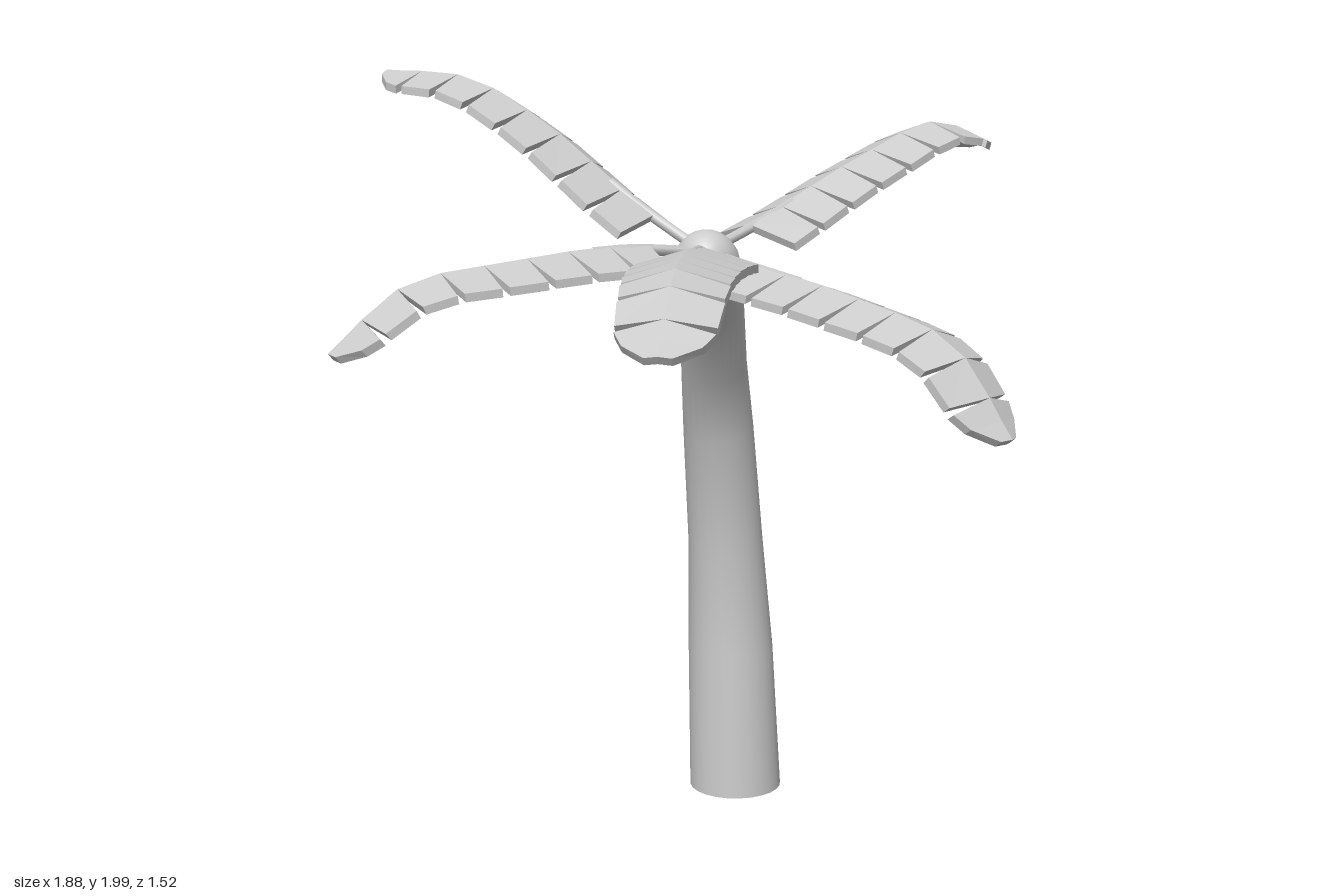
import * as THREE from 'three';

const material = new THREE.MeshStandardMaterial({ color: 0xcccccc });
const leafMaterial = new THREE.MeshStandardMaterial({ color: 0xcccccc, flatShading: true });
const UP = new THREE.Vector3(0, 1, 0);

// Tapered, bent trunk: rings of [x, y, z, radius] set square to the path
function trunkGeometry(path, sides = 24) {
  const centres = path.map(p => new THREE.Vector3(p[0], p[1], p[2]));
  const positions = [], index = [];
  centres.forEach((c, i) => {
    const t = centres[Math.min(i + 1, path.length - 1)].clone().sub(centres[Math.max(i - 1, 0)]).normalize();
    if (i === 0) t.copy(UP);
    const a = new THREE.Vector3(1, 0, 0).addScaledVector(t, -t.x).normalize();
    const b = new THREE.Vector3().crossVectors(a, t);
    for (let j = 0; j < sides; j++) {
      const w = j / sides * Math.PI * 2;
      const p = c.clone().addScaledVector(a, Math.cos(w) * path[i][3]).addScaledVector(b, Math.sin(w) * path[i][3]);
      positions.push(p.x, p.y, p.z);
      if (i > 0) {
        const k = (j + 1) % sides, lo = (i - 1) * sides, hi = i * sides;
        index.push(lo + j, hi + j, lo + k, lo + k, hi + j, hi + k);
      }
    }
  });
  const geometry = new THREE.BufferGeometry();
  geometry.setAttribute('position', new THREE.Float32BufferAttribute(positions, 3));
  geometry.setIndex(index);
  geometry.computeVertexNormals();
  return geometry;
}

// Folded leaf: roof-shaped slabs along the rib, parted by V notches at the rim
function leafGeometry(curve, start) {
  const positions = [];
  const thickness = 0.02, fold = 0.3, notch = 0.009, count = 8;

  const point = (u, side, lower) => {
    const v = Math.min(u, 1);
    const t = curve.getTangentAt(v);
    const s = new THREE.Vector3().crossVectors(t, UP).normalize();
    const n = new THREE.Vector3().crossVectors(s, t);
    return curve.getPointAt(v).addScaledVector(s, side)
      .addScaledVector(n, -Math.abs(side) * fold - (lower ? thickness : 0));
  };
  const ring = (u, rimU, w) => [
    point(rimU, -w), point(u, 0), point(rimU, w),
    point(rimU, w, true), point(u, 0, true), point(rimU, -w, true)];
  const quad = (a, b, c, d) => {
    for (const p of [a, b, c, a, c, d]) positions.push(p.x, p.y, p.z);
  };
  const slab = (a, b) => {
    for (let i = 0; i < 6; i++) {
      const j = (i + 1) % 6;
      quad(a[i], a[j], b[j], b[i]);
    }
    quad(a[0], a[5], a[4], a[1]);
    quad(a[1], a[4], a[3], a[2]);
    quad(b[1], b[4], b[5], b[0]);
    quad(b[2], b[3], b[4], b[1]);
  };

  const step = (1 - start) / count;
  const width = i => 0.142 - 0.0045 * i;
  for (let i = 0; i < count - 1; i++) {
    const u0 = start + i * step, u1 = u0 + step;
    slab(ring(u0, u0 + notch, width(i)), ring(u1, u1 - notch, width(i) - 0.006));
  }
  // rounded tip
  const u = 1 - step;
  slab(ring(u, u + notch, 0.108), ring(u + step * 0.55, u + step * 0.5, 0.085));
  slab(ring(u + step * 0.55, u + step * 0.5, 0.085), ring(1, 0.995, 0.03));

  const geometry = new THREE.BufferGeometry();
  geometry.setAttribute('position', new THREE.Float32BufferAttribute(positions, 3));
  geometry.computeVertexNormals();
  return geometry;
}

export function createModel() {
  const model = new THREE.Group();
  const add = (parent, name, geometry, mat = material) => {
    const mesh = new THREE.Mesh(geometry, mat);
    mesh.name = name;
    parent.add(mesh);
    return mesh;
  };

  // Trunk leaning forward to the crown
  add(model, 'trunk', trunkGeometry([
    [0.248, 0, -0.545, 0.127], [0.237, 0.4, -0.555, 0.117], [0.222, 0.705, -0.555, 0.102],
    [0.178, 1.04, -0.492, 0.094], [0.135, 1.235, -0.407, 0.086],
    [0.083, 1.42, -0.262, 0.076], [0.035, 1.52, -0.16, 0.07]]));
  const base = add(model, 'trunkBase', new THREE.CircleGeometry(0.127, 24));
  base.rotation.x = Math.PI / 2;
  base.position.set(0.248, 0, -0.545);

  // Swollen crown at the trunk top
  const crown = add(model, 'crown', new THREE.SphereGeometry(0.085, 20, 14));
  crown.position.set(0.03, 1.52, -0.165);
  crown.scale.set(1, 1.22, 1);
  crown.quaternion.setFromUnitVectors(UP, new THREE.Vector3(-0.3, 0.7, 0.65).normalize());

  // Rib paths, all starting at the crown
  const hub = [0.015, 1.57, -0.14];
  const fronds = {
    frondLeft: [[0.2, 1.635, -0.215], [0.5, 1.765, -0.315], [0.76, 1.845, -0.41], [0.935, 1.79, -0.485]],
    frondBackRight: [[-0.13, 1.69, -0.27], [-0.3, 1.86, -0.425], [-0.46, 1.97, -0.57], [-0.635, 1.985, -0.745]],
    frondRight: [[-0.2, 1.59, -0.105], [-0.5, 1.57, -0.05], [-0.76, 1.53, -0.015], [-0.94, 1.385, -0.005]],
    frondFrontRight: [[-0.07, 1.6, 0.05], [-0.2, 1.615, 0.32], [-0.31, 1.595, 0.57], [-0.4, 1.47, 0.745]],
    frondFrontLeft: [[0.11, 1.54, 0.02], [0.25, 1.49, 0.26], [0.385, 1.41, 0.5], [0.465, 1.215, 0.645]],
  };
  for (const [name, points] of Object.entries(fronds)) {
    const frond = new THREE.Group();
    frond.name = name;
    model.add(frond);
    const curve = new THREE.CatmullRomCurve3([hub, ...points].map(p => new THREE.Vector3(...p)));
    add(frond, 'leaf', leafGeometry(curve, 0.15), leafMaterial);
    // Stalk joining the leaf to the crown
    const stalk = new THREE.CatmullRomCurve3([0, 0.1, 0.2, 0.3].map(u =>
      curve.getPointAt(u).addScaledVector(UP, -0.012)));
    add(frond, 'stalk', new THREE.TubeGeometry(stalk, 8, 0.014, 6));
  }
  return model;
}
